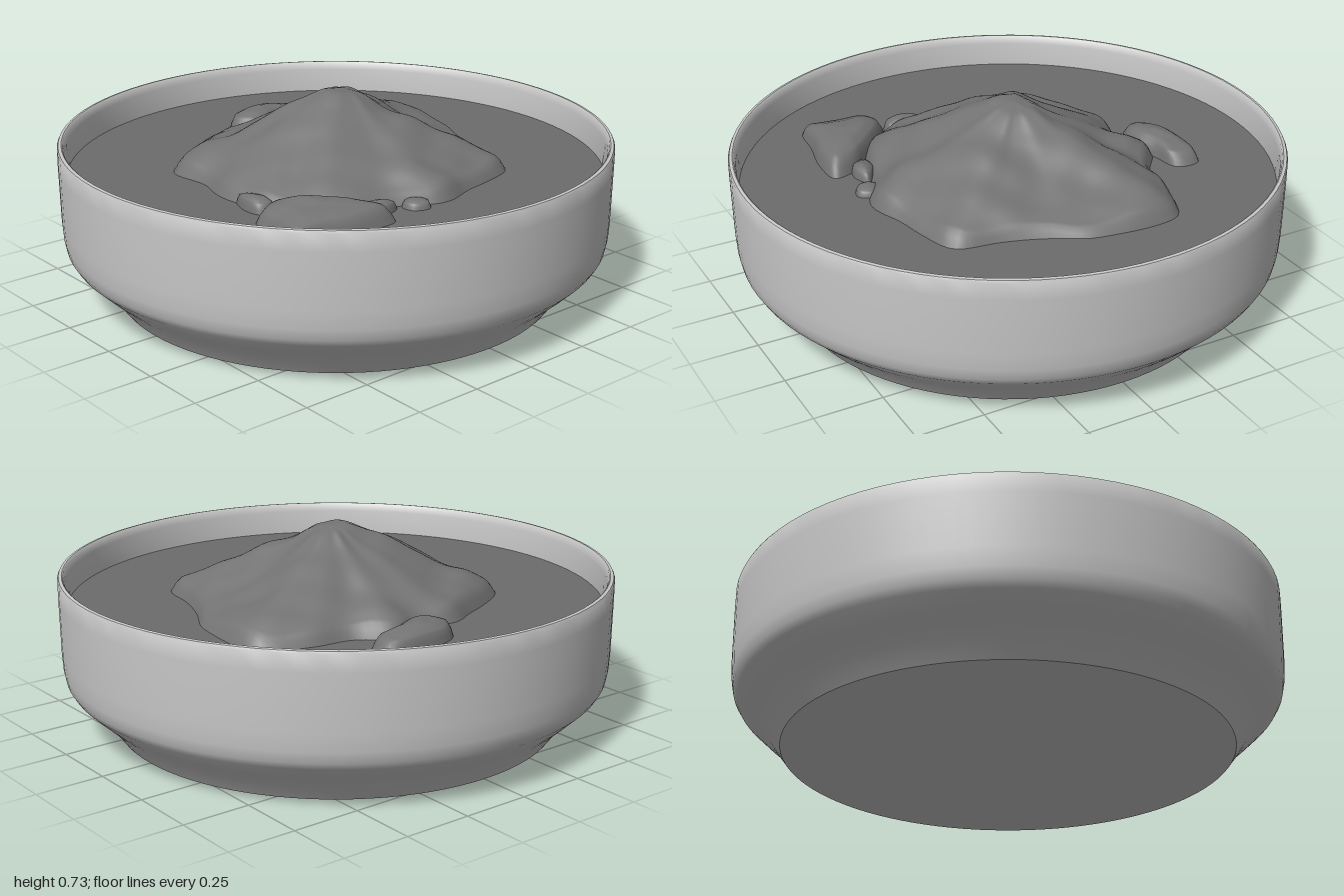
import * as THREE from 'three';
import { toCreasedNormals } from 'three/addons/utils/BufferGeometryUtils.js';

const LIQUID_Y = 0.45;

const flat = (name, color, extra = {}) =>
  Object.assign(new THREE.MeshStandardMaterial({ color, ...extra }), { name });

// Piecewise-linear lookup through [t, value] pairs.
function lookup(table, t) {
  for (let i = 1; i < table.length; i++) {
    const [a, va] = table[i - 1], [b, vb] = table[i];
    if (t <= b) return va + (vb - va) * (t - a) / (b - a);
  }
  return table[table.length - 1][1];
}

// Smooth bumps made of a few crossed waves, roughly -1 to 1.
function bumps(x, z) {
  return 0.4 * Math.sin(17 * x + 5 * z + 2 * Math.sin(9 * z))
    + 0.35 * Math.sin(19 * z - 7 * x + 1.7 * Math.sin(11 * x + 1))
    + 0.25 * Math.sin(31 * x + 1.3) * Math.sin(29 * z + 0.4);
}

// Mound built from rings that shrink from a closed outline of [x, z] to its centre.
function mound(name, material, outline, centre, height, segments, rings) {
  const curve = new THREE.CatmullRomCurve3(
    outline.map(([x, z]) => new THREE.Vector3(x, 0, z)), true, 'centripetal');
  const edge = curve.getPoints(segments).slice(0, segments);
  const positions = [centre[0], height(0, centre[0], centre[1]), centre[1]];
  const index = [];
  for (let r = 1; r <= rings; r++) {
    const t = r / rings;
    edge.forEach((p, i) => {
      const x = centre[0] + (p.x - centre[0]) * t;
      const z = centre[1] + (p.z - centre[1]) * t;
      positions.push(x, height(t, x, z), z);
      const j = (i + 1) % segments;
      const a = 1 + (r - 1) * segments, b = a - segments;
      if (r === 1) index.push(0, a + j, a + i);
      else index.push(b + i, b + j, a + i, b + j, a + j, a + i);
    });
  }
  const geometry = new THREE.BufferGeometry();
  geometry.setAttribute('position', new THREE.Float32BufferAttribute(positions, 3));
  geometry.setIndex(index);
  geometry.computeVertexNormals();
  const mesh = new THREE.Mesh(geometry, material);
  mesh.name = name;
  return mesh;
}

export function createModel() {
  const group = new THREE.Group();
  group.name = 'bowlOfFood';
  const ceramic = flat('ceramic', 0xc8c8c8);
  const broth = flat('broth', 0x6c6c6c);
  const food = flat('food', 0x747474, { side: THREE.DoubleSide });

  // Bowl: narrow foot, sloping shoulder, upright wall and thin rounded rim
  const profile = [
    [0, 0], [0.81, 0], [0.86, 0.068], [0.92, 0.122], [0.97, 0.17], [0.985, 0.195], [0.993, 0.235],
    [0.997, 0.3], [1, 0.5], [1, 0.562], [0.996, 0.57], [0.985, 0.572], [0.98, 0.568],
    [0.974, 0.54], [0.97, 0.46], [0.965, 0.3], [0.9, 0.19], [0.78, 0.1], [0, 0.08],
  ].map(([x, y]) => new THREE.Vector2(x, y));
  const bowl = new THREE.Mesh(toCreasedNormals(new THREE.LatheGeometry(profile, 96), 0.8), ceramic);
  bowl.name = 'bowl';
  group.add(bowl);

  // Flat broth surface
  const surface = new THREE.Mesh(new THREE.CircleGeometry(0.972, 96).rotateX(-Math.PI / 2), broth);
  surface.name = 'brothSurface';
  surface.position.y = LIQUID_Y;
  group.add(surface);

  // Main mound: outline radius every 15 degrees, from +x towards +z
  const radii = [0.57, 0.52, 0.53, 0.57, 0.58, 0.56, 0.55, 0.54, 0.61, 0.57, 0.53, 0.53,
    0.50, 0.56, 0.53, 0.61, 0.71, 0.65, 0.61, 0.55, 0.56, 0.63, 0.59, 0.56];
  const outline = radii.map((r, i) => {
    const a = i * Math.PI / 12;
    return [r * Math.cos(a), r * Math.sin(a)];
  });
  const slope = [[0, 0.725], [0.12, 0.715], [0.24, 0.675], [0.42, 0.63], [0.62, 0.575],
    [0.8, 0.53], [0.93, 0.49], [1, 0.42]];
  group.add(mound('foodMound', food, outline, [-0.01, -0.04], (t, x, z) => {
    const ridge = 0.03 * Math.exp(-(x * x + (z - 0.18) ** 2) / 0.03)
      - 0.035 * Math.exp(-(x * x + (z + 0.36) ** 2) / 0.03);
    return lookup(slope, t) + ridge + 0.014 * bumps(x, z) * Math.min(1, t * 3);
  }, 120, 36));

  // Loose chunks floating beside the mound
  const chunk = [[0, 1], [0.5, 0.88], [0.85, 0.6], [1, -0.3]];
  const chunkHeight = (rise, tiltX, tiltZ, [cx, cz]) => (t, x, z) =>
    LIQUID_Y + rise * lookup(chunk, t) + (tiltX * (x - cx) + tiltZ * (z - cz)) * (1 - t * t)
    + 0.008 * bumps(x * 1.3, z * 1.3) * (1 - t);
  const addChunk = (name, points, centre, rise, tiltX, tiltZ) =>
    group.add(mound(name, food, points, centre, chunkHeight(rise, tiltX, tiltZ, centre), 48, 10));

  addChunk('frontLeftChunk', [[0.26, 0.49], [0.33, 0.40], [0.42, 0.31], [0.5, 0.24], [0.59, 0.22],
    [0.6, 0.35], [0.57, 0.5], [0.545, 0.65], [0.48, 0.64], [0.4, 0.62], [0.3, 0.61], [0.265, 0.56]],
  [0.45, 0.45], 0.085, -0.1, -0.1);
  addChunk('rightChunk', [[-0.65, -0.29], [-0.59, -0.305], [-0.54, -0.28], [-0.52, -0.18],
    [-0.48, -0.08], [-0.49, 0.02], [-0.56, 0.06], [-0.64, 0], [-0.665, -0.15]],
  [-0.58, -0.1], 0.07, 0.1, 0.05);
  addChunk('leftCrumb', [[0.47, 0.09], [0.52, 0.03], [0.57, 0.06], [0.55, 0.12], [0.5, 0.13]],
    [0.52, 0.08], 0.03, 0, 0);
  addChunk('leftFrontCrumb', [[0.43, 0.22], [0.49, 0.14], [0.52, 0.2], [0.5, 0.27], [0.44, 0.3]],
    [0.48, 0.22], 0.04, 0, 0);
  addChunk('frontCrumb', [[0.09, 0.52], [0.16, 0.47], [0.26, 0.48], [0.25, 0.54], [0.18, 0.555]],
    [0.18, 0.51], 0.05, 0, 0);
  return group;
}
